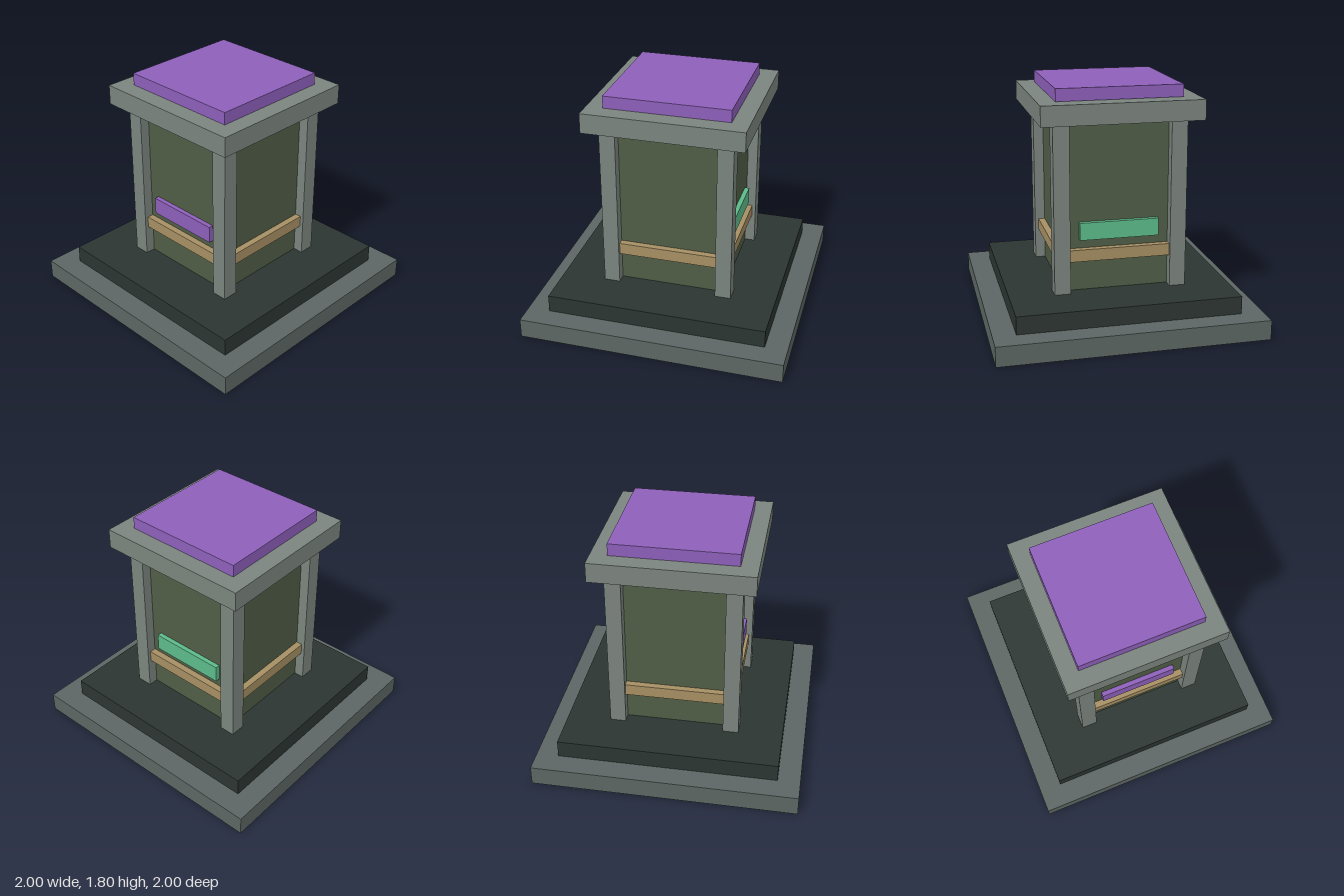
import * as THREE from 'three';

const mat = (color) => new THREE.MeshStandardMaterial({ color, flatShading: true });
const stone = mat(0x5c6663), darkStone = mat(0x2c3532), paleStone = mat(0x7b847e);
const wall = mat(0x505d46), brass = mat(0xa68f63), purple = mat(0x8d5fba), green = mat(0x5cba8a);

export function createModel() {
  const model = new THREE.Group();

  // Box given by its size, bottom height and position
  const box = (name, material, w, h, d, bottom, x = 0, z = 0, parent = model) => {
    const mesh = new THREE.Mesh(new THREE.BoxGeometry(w, h, d), material);
    mesh.name = name;
    mesh.position.set(x, bottom + h / 2, z);
    parent.add(mesh);
    return mesh;
  };

  // Stepped base
  box('basePlinth', stone, 2, 0.15, 2, 0);
  box('baseStep', darkStone, 1.664, 0.135, 1.664, 0.15);

  // Central body
  box('body', wall, 0.84, 1.275, 0.84, 0.285);

  // Corner pillars
  for (const x of [-1, 1])
    for (const z of [-1, 1])
      box('cornerPillar', paleStone, 0.12, 1.275, 0.12, 0.285, x * 0.437, z * 0.437);

  // Band rail on each of the four sides
  for (let i = 0; i < 4; i++) {
    const side = new THREE.Group();
    side.name = 'railSide';
    side.rotation.y = (i * Math.PI) / 2;
    box('bandRail', brass, 0.76, 0.09, 0.06, 0.52, 0, 0.44, side);
    model.add(side);
  }

  // Coloured panels on the front and back
  box('frontPanel', purple, 0.594, 0.132, 0.04, 0.678, 0, 0.436);
  box('backPanel', green, 0.594, 0.132, 0.04, 0.678, 0, -0.436);

  // Roof slab and lid
  box('roofSlab', paleStone, 1.194, 0.15, 1.194, 1.56);
  box('roofLid', purple, 0.936, 0.092, 0.936, 1.713);

  return model;
}
